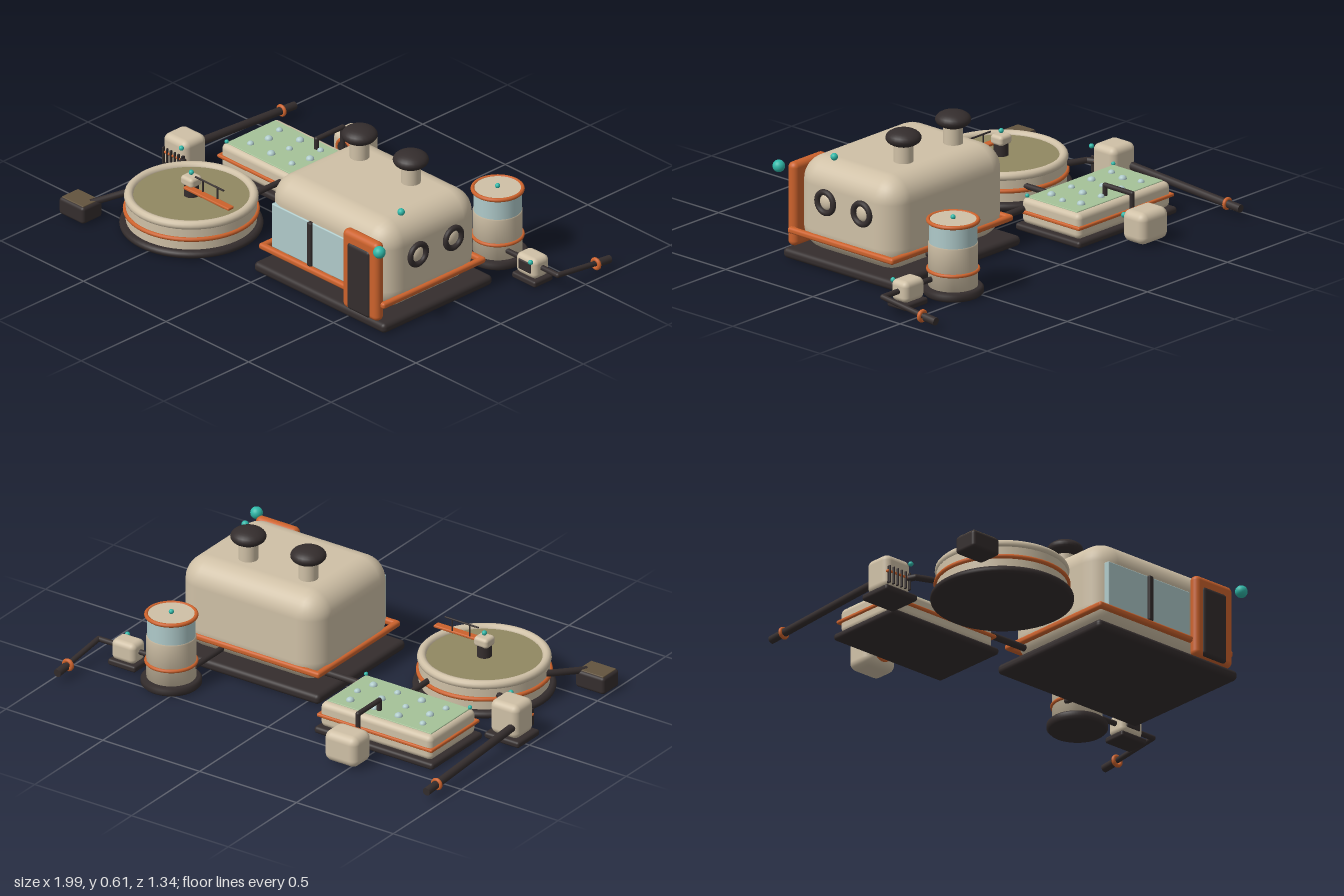
import * as THREE from 'three';
import { RoundedBoxGeometry } from 'three/addons/geometries/RoundedBoxGeometry.js';

const mat = (name, color) => {
  const m = new THREE.MeshStandardMaterial({ color });
  m.name = name;
  return m;
};
const V = (x, y, z) => new THREE.Vector3(x, y, z);

export function createModel() {
  const cream = mat('cream shell', 0xcfc0a6);
  const orange = mat('orange trim', 0xcc622c);
  const dark = mat('dark rubber', 0x342d2d);
  const glass = mat('pale glass', 0xafcaca);
  const green = mat('green bed', 0xa5c298);
  const olive = mat('olive sludge', 0x918862);
  const brown = mat('brown lid', 0x63543e);
  const teal = mat('teal lamp', 0x2fb8a8);

  const root = new THREE.Group();
  root.name = 'settlement';
  const group = (name) => {
    const g = new THREE.Group();
    g.name = name;
    root.add(g);
    return g;
  };
  const add = (g, name, geo, m, x = 0, y = 0, z = 0) => {
    const mesh = new THREE.Mesh(geo, m);
    mesh.name = name;
    mesh.position.set(x, y, z);
    g.add(mesh);
    return mesh;
  };
  // Rounded box given by its extents on each axis
  const box = (g, name, m, [x0, x1], [y0, y1], [z0, z1], r = 0.01) => {
    const w = x1 - x0, h = y1 - y0, d = z1 - z0;
    const geo = new RoundedBoxGeometry(w, h, d, 4, Math.min(r, Math.min(w, h, d) * 0.49));
    return add(g, name, geo, m, (x0 + x1) / 2, (y0 + y1) / 2, (z0 + z1) / 2);
  };
  const ball = (g, name, m, x, y, z, r, sy = 1) => {
    const s = add(g, name, new THREE.SphereGeometry(r, 24, 16), m, x, y, z);
    s.scale.y = sy;
    return s;
  };
  const cyl = (g, name, m, x, y0, y1, z, r) =>
    add(g, name, new THREE.CylinderGeometry(r, r, y1 - y0, 48), m, x, (y0 + y1) / 2, z);
  const ring = (g, name, m, x, y, z, R, t, axis = 'y') => {
    const mesh = add(g, name, new THREE.TorusGeometry(R, t, 12, 56), m, x, y, z);
    if (axis === 'y') mesh.rotation.x = Math.PI / 2;
    if (axis === 'x') mesh.rotation.y = Math.PI / 2;
    return mesh;
  };
  // Straight capped rods joined by balls at the bends
  const pipe = (g, name, m, r, pts) => {
    for (let i = 1; i < pts.length; i++) {
      const a = pts[i - 1], b = pts[i], dir = b.clone().sub(a);
      const mid = a.clone().add(b).multiplyScalar(0.5);
      const rod = add(g, name, new THREE.CylinderGeometry(r, r, dir.length(), 16), m, mid.x, mid.y, mid.z);
      rod.quaternion.setFromUnitVectors(V(0, 1, 0), dir.normalize());
      if (i < pts.length - 1) ball(g, name + 'Joint', m, b.x, b.y, b.z, r);
    }
  };
  // Four bars running round a rectangle
  const frame = (g, name, m, [x0, x1], y, [z0, z1], t) => {
    const ys = [y - t, y + t];
    for (const z of [z0 + t, z1 - t]) box(g, name, m, [x0, x1], ys, [z - t, z + t], t * 0.8);
    for (const x of [x0 + t, x1 - t]) box(g, name, m, [x - t, x + t], ys, [z0, z1], t * 0.8);
  };
  // Round shells turned from a profile
  const turned = (g, name, m, x, z, pts) =>
    add(g, name, new THREE.LatheGeometry(pts.map((p) => new THREE.Vector2(...p)), 64), m, x, 0, z);

  // Cabin
  const cabin = group('cabin');
  box(cabin, 'basePlate', dark, [-0.065, 0.73], [0, 0.046], [-0.22, 0.425], 0.02);
  box(cabin, 'cabinShell', cream, [-0.035, 0.7], [0.045, 0.465], [-0.185, 0.388], 0.11);
  frame(cabin, 'bumperRail', orange, [-0.047, 0.715], 0.123, [-0.193, 0.412], 0.014);
  box(cabin, 'frontWindow', glass, [0.015, 0.48], [0.137, 0.345], [0.35, 0.394], 0.005);
  box(cabin, 'windowBar', dark, [0.239, 0.265], [0.137, 0.347], [0.38, 0.406], 0.008);
  box(cabin, 'doorFrame', orange, [0.48, 0.695], [0.045, 0.42], [0.383, 0.434], 0.024);
  box(cabin, 'doorPanel', dark, [0.515, 0.655], [0.05, 0.372], [0.4, 0.441], 0.018);
  for (const z of [0.2, -0.008]) {
    ring(cabin, 'portholeRing', dark, 0.705, 0.295, z, 0.046, 0.013, 'x');
    ball(cabin, 'portholeDome', cream, 0.695, 0.295, z, 0.036).scale.x = 0.5;
  }
  for (const x of [0.135, 0.445]) {
    cyl(cabin, 'ventStem', cream, x, 0.45, 0.55, -0.01, 0.042);
    ball(cabin, 'ventCap', dark, x, 0.571, -0.01, 0.077, 0.5);
  }
  ball(cabin, 'roofLamp', teal, 0.625, 0.475, 0.222, 0.016);
  ball(cabin, 'doorLamp', teal, 0.725, 0.405, 0.448, 0.027);

  // Round settling tank
  const tank = group('settlingTank');
  const tx = -0.535, tz = 0.33;
  turned(tank, 'tankBase', dark, tx, tz, [[0, 0], [0.29, 0], [0.302, 0.008], [0.305, 0.018], [0.302, 0.028], [0.29, 0.036], [0, 0.036]]);
  cyl(tank, 'tankWall', cream, tx, 0.03, 0.138, tz, 0.278);
  ring(tank, 'tankRim', cream, tx, 0.146, tz, 0.265, 0.02);
  ring(tank, 'tankBand', orange, tx, 0.085, tz, 0.28, 0.01);
  cyl(tank, 'sludgeSurface', olive, tx, 0.13, 0.15, tz, 0.256);
  cyl(tank, 'hubPost', dark, tx, 0.145, 0.205, tz, 0.032);
  box(tank, 'hubHead', cream, [tx - 0.036, tx + 0.036], [0.198, 0.243], [tz - 0.034, tz + 0.034], 0.015);
  ball(tank, 'hubLamp', teal, tx, 0.257, tz, 0.011);
  box(tank, 'walkway', orange, [tx, -0.26], [0.194, 0.207], [0.345, 0.38], 0.005);
  for (const x of [-0.445, -0.355]) pipe(tank, 'railPost', dark, 0.004, [V(x, 0.2, 0.35), V(x, 0.26, 0.35)]);
  pipe(tank, 'handRail', dark, 0.004, [V(-0.49, 0.26, 0.35), V(-0.318, 0.26, 0.35)]);

  // Sludge box beside the tank
  const bin = group('sludgeBox');
  box(bin, 'boxBody', dark, [-1, -0.85], [0.004, 0.084], [0.545, 0.662], 0.015);
  box(bin, 'boxLid', brown, [-0.99, -0.86], [0.08, 0.087], [0.555, 0.652], 0.003);
  pipe(bin, 'drainPipe', dark, 0.015, [V(-0.88, 0.075, 0.59), V(-0.79, 0.105, 0.41)]);

  // Pump with long outlet
  const pump = group('outletPump');
  box(pump, 'pumpBase', dark, [-0.985, -0.805], [0, 0.03], [-0.06, 0.1], 0.012);
  box(pump, 'pumpBody', cream, [-0.97, -0.825], [0.028, 0.185], [-0.05, 0.082], 0.03);
  box(pump, 'pumpStripe', orange, [-0.965, -0.83], [0.095, 0.106], [0.07, 0.087], 0.004);
  for (let i = 0; i < 6; i++) {
    const x = -0.955 + i * 0.023;
    box(pump, 'pumpFin', dark, [x - 0.004, x + 0.004], [0.045, 0.125], [0.07, 0.092], 0.003);
  }
  ball(pump, 'pumpLamp', teal, -0.84, 0.165, 0.092, 0.011);
  pipe(pump, 'inletPipe', dark, 0.014, [V(-0.85, 0.1, 0.06), V(-0.83, 0.1, 0.11), V(-0.74, 0.1, 0.145)]);
  pipe(pump, 'outletPipe', dark, 0.018, [V(-0.94, 0.085, -0.03), V(-0.94, 0.043, -0.672)]);
  ring(pump, 'outletCollar', orange, -0.94, 0.048, -0.595, 0.02, 0.008, 'z');

  // Planting bed
  const bed = group('plantingBed');
  box(bed, 'bedBase', dark, [-0.805, -0.19], [0, 0.032], [-0.435, -0.063], 0.014);
  box(bed, 'bedBody', cream, [-0.785, -0.208], [0.03, 0.145], [-0.417, -0.082], 0.025);
  frame(bed, 'bedTrim', orange, [-0.795, -0.198], 0.085, [-0.426, -0.072], 0.008);
  box(bed, 'bedTop', green, [-0.765, -0.228], [0.141, 0.149], [-0.388, -0.102], 0.003);
  [-0.335, -0.25, -0.165].forEach((z, row) => {
    for (let i = 0; i < 4; i++) {
      const x = -0.685 + i * 0.125 + (row === 1 ? 0.023 : 0);
      ball(bed, 'bedDome', glass, x, 0.149, z, (i + row) % 2 ? 0.018 : 0.015, 0.9);
    }
  });
  for (const x of [-0.765, -0.228]) ball(bed, 'bedLamp', teal, x, 0.153, -0.102, 0.009);
  pipe(bed, 'tankLink', dark, 0.013, [V(-0.42, 0.1, -0.09), V(-0.42, 0.1, 0.09)]);
  pipe(bed, 'cabinLink', dark, 0.015, [V(-0.22, 0.095, -0.095), V(-0.02, 0.095, -0.095)]);

  // Blower behind the bed
  const blower = group('blower');
  box(blower, 'blowerBody', cream, [-0.545, -0.375], [0.008, 0.15], [-0.632, -0.502], 0.035);
  ring(blower, 'fanRing', orange, -0.46, 0.085, -0.5, 0.042, 0.009, 'z');
  add(blower, 'fanDisc', new THREE.CylinderGeometry(0.04, 0.04, 0.012, 32), dark, -0.46, 0.085, -0.5).rotation.x = Math.PI / 2;
  ball(blower, 'blowerLamp', teal, -0.395, 0.12, -0.503, 0.012);
  pipe(blower, 'airPipe', dark, 0.011, [V(-0.46, 0.09, -0.49), V(-0.46, 0.195, -0.49), V(-0.46, 0.195, -0.335), V(-0.46, 0.14, -0.335)]);

  // Water tower
  const tower = group('waterTower');
  const wx = 0.565, wz = -0.405;
  turned(tower, 'towerBase', dark, wx, wz, [[0, 0], [0.12, 0], [0.13, 0.01], [0.13, 0.03], [0.12, 0.04], [0, 0.04]]);
  turned(tower, 'towerBody', cream, wx, wz, [[0, 0.035], [0.106, 0.035], [0.106, 0.228], [0.1, 0.237], [0, 0.237]]);
  ring(tower, 'towerBand', orange, wx, 0.112, wz, 0.107, 0.008);
  cyl(tower, 'towerGlass', glass, wx, 0.232, 0.325, wz, 0.103);
  ring(tower, 'towerRim', orange, wx, 0.329, wz, 0.106, 0.009);
  cyl(tower, 'towerLid', cream, wx, 0.32, 0.334, wz, 0.102);
  ball(tower, 'towerLamp', teal, wx, 0.342, wz, 0.011);
  pipe(tower, 'cabinLink', dark, 0.013, [V(0.47, 0.095, -0.17), V(0.47, 0.095, -0.37)]);

  // Small pump with nozzle
  const tap = group('nozzlePump');
  box(tap, 'tapBase', dark, [0.74, 0.882], [0.003, 0.032], [-0.425, -0.315], 0.01);
  box(tap, 'tapBody', cream, [0.75, 0.872], [0.03, 0.126], [-0.418, -0.325], 0.025);
  box(tap, 'tapPanel', dark, [0.774, 0.85], [0.058, 0.106], [-0.34, -0.32], 0.006);
  ball(tap, 'tapLamp', teal, 0.85, 0.115, -0.322, 0.011);
  pipe(tap, 'towerPipe', dark, 0.012, [V(0.65, 0.08, -0.37), V(0.76, 0.08, -0.37)]);
  pipe(tap, 'tapPipe', dark, 0.012, [V(0.86, 0.08, -0.37), V(0.965, 0.08, -0.37), V(0.965, 0.049, -0.62)]);
  pipe(tap, 'nozzle', dark, 0.018, [V(0.965, 0.049, -0.612), V(0.965, 0.043, -0.674)]);
  ring(tap, 'nozzleCollar', orange, 0.965, 0.05, -0.595, 0.02, 0.009, 'z');

  return root;
}
